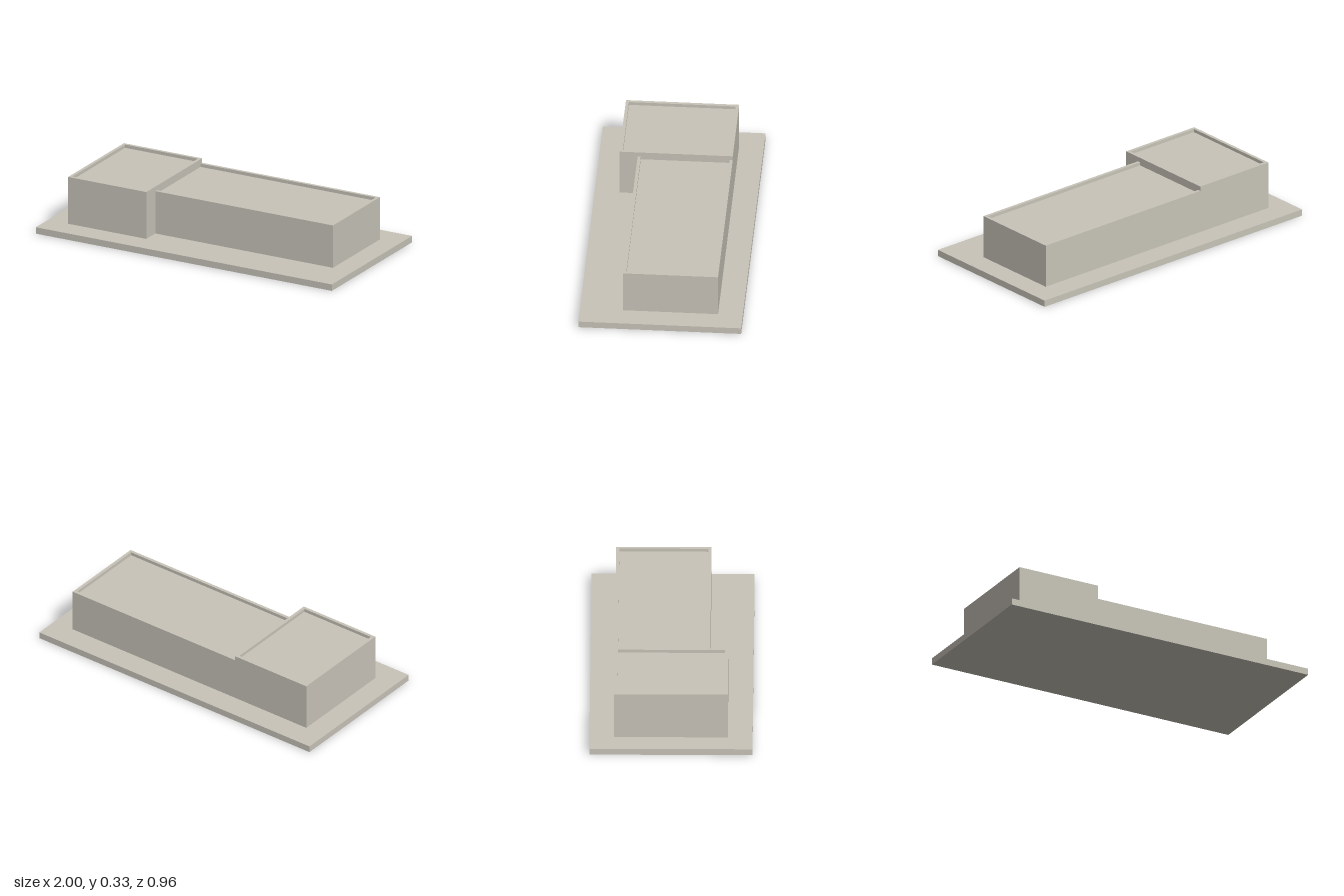
import * as THREE from 'three';

const BASE_TOP = 0.04;
const WALL = 0.019;    // parapet thickness
const RECESS = 0.02;   // roof depth below the parapet

export function createModel() {
  const model = new THREE.Group();
  model.name = 'buildingMassing';
  const concrete = new THREE.MeshStandardMaterial({ color: 0xc8c4b9 });
  concrete.name = 'warm grey concrete';

  function box(name, parent, [x0, x1], [y0, y1], [z0, z1]) {
    const mesh = new THREE.Mesh(new THREE.BoxGeometry(x1 - x0, y1 - y0, z1 - z0), concrete);
    mesh.position.set((x0 + x1) / 2, (y0 + y1) / 2, (z0 + z1) / 2);
    mesh.name = name;
    parent.add(mesh);
  }

  // Shape is drawn in x and -z, then laid flat so it rises along y
  function extrudeUp(name, parent, shape, y0, y1) {
    const geometry = new THREE.ExtrudeGeometry(shape, { depth: y1 - y0, bevelEnabled: false });
    geometry.rotateX(-Math.PI / 2);
    const mesh = new THREE.Mesh(geometry, concrete);
    mesh.position.y = y0;
    mesh.name = name;
    parent.add(mesh);
  }

  const outline = (points) => points.map(([x, z]) => new THREE.Vector2(x, -z));

  // Ground slab
  box('baseSlab', model, [-1, 1], [0, BASE_TOP], [-0.48, 0.48]);

  // Taller end block with a parapet on all four sides
  const [ax0, ax1, az0, az1, aTop] = [-0.865, -0.336, -0.334, 0.334, 0.333];
  const tall = new THREE.Group();
  tall.name = 'tallBlock';
  model.add(tall);
  box('tallBody', tall, [ax0, ax1], [BASE_TOP, aTop - RECESS], [az0, az1]);
  const ring = new THREE.Shape(outline([[ax0, az0], [ax0, az1], [ax1, az1], [ax1, az0]]));
  ring.holes.push(new THREE.Path(outline([
    [ax0 + WALL, az0 + WALL], [ax1 - WALL, az0 + WALL],
    [ax1 - WALL, az1 - WALL], [ax0 + WALL, az1 - WALL],
  ])));
  extrudeUp('tallParapet', tall, ring, aTop - RECESS, aTop);

  // Long low block, its parapet open where it meets the tall block
  const [bx1, bz0, bz1, bTop] = [0.865, -0.334, 0.227, 0.305];
  const low = new THREE.Group();
  low.name = 'longBlock';
  model.add(low);
  box('longBody', low, [ax1, bx1], [BASE_TOP, bTop - RECESS], [bz0, bz1]);
  const threeSides = new THREE.Shape(outline([
    [ax1, bz1], [bx1, bz1], [bx1, bz0], [ax1, bz0],
    [ax1, bz0 + WALL], [bx1 - WALL, bz0 + WALL], [bx1 - WALL, bz1 - WALL], [ax1, bz1 - WALL],
  ]));
  extrudeUp('longParapet', low, threeSides, bTop - RECESS, bTop);

  return model;
}
